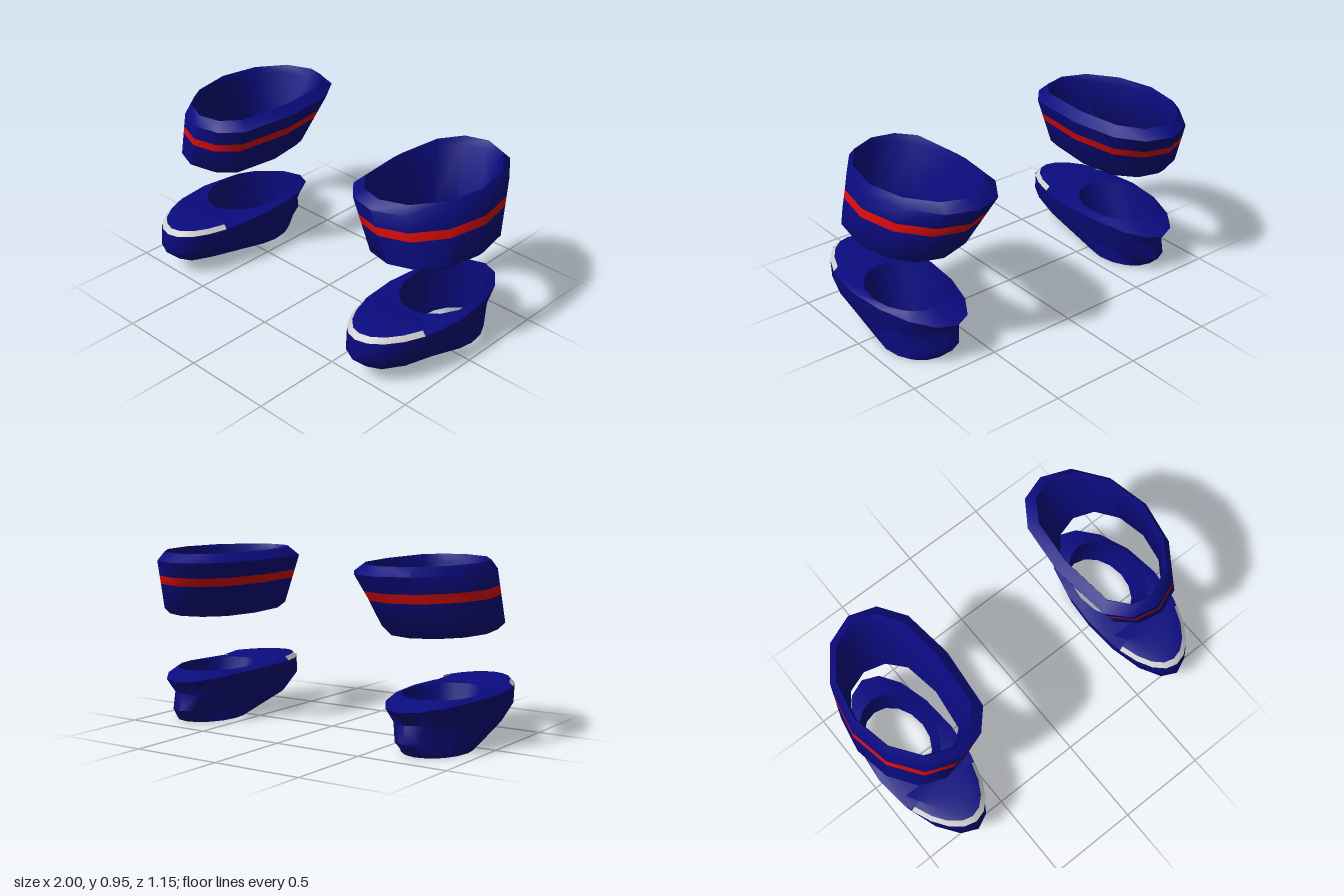
import * as THREE from 'three';
import { toCreasedNormals } from 'three/addons/utils/BufferGeometryUtils.js';

const mat = (color) => new THREE.MeshStandardMaterial({ color, side: THREE.DoubleSide });
const navy = mat(0x0b0b80), red = mat(0xdd0c0c), grey = mat(0xcccccc);

// Egg-shaped outline point at angle a (0 = front), widest at z = zc.
// front, back: exponents under 1 that square off the inner (-x) half
function eggPoint(r, a) {
  const c = Math.cos(a), s = Math.sin(a);
  const p = s > -0.01 ? 1 : c > 0 ? r.front : r.back;
  const z = r.zc + Math.sign(c) * Math.abs(c) ** p * (c > 0 ? r.z1 - r.zc : r.zc - r.z0);
  const x = (r.x0 + r.x1) / 2 + s * (r.x1 - r.x0) / 2 + r.skew * c * c;
  return new THREE.Vector3(x, r.y - r.dip * Math.max(0, -c) ** 2, z);
}

function eggRing(r, sides) {
  return Array.from({ length: sides + 1 }, (_, i) => eggPoint(r, (i % sides) / sides * Math.PI * 2));
}

// Skin between successive rows of points
function skin(name, rows, material) {
  const n = rows[0].length, index = [];
  for (let j = 0; j < rows.length - 1; j++) {
    for (let i = 0; i < n - 1; i++) {
      const a = j * n + i, b = a + 1, c = a + n, d = c + 1;
      index.push(a, b, d, a, d, c);
    }
  }
  const g = new THREE.BufferGeometry().setFromPoints(rows.flat());
  g.setIndex(index);
  const mesh = new THREE.Mesh(toCreasedNormals(g, 0.95), material);
  mesh.name = name;
  return mesh;
}

// Ring at height y between two others
function mix(a, b, y) {
  const t = (y - a.y) / (b.y - a.y), out = {};
  for (const k of Object.keys(a)) out[k] = a[k] + (b[k] - a[k]) * t;
  return out;
}

function makeCuff() {
  const cuff = new THREE.Group();
  cuff.name = 'ankleCuff';
  const ring = (y, x0, x1, z0, z1, zc, skew) =>
    ({ y, x0, x1, z0, z1, zc, skew, front: 0.5, back: 0.75, dip: 0 });
  const lip = ring(0.597, 0.485, 0.97, -0.4, 0.3, -0.06, 0);
  const low = ring(0.63, 0.455, 1.0, -0.435, 0.35, -0.05, 0);
  const high = ring(0.905, 0.36, 0.97, -0.575, 0.375, -0.1, -0.03);
  const rim = ring(0.95, 0.415, 0.94, -0.52, 0.33, -0.1, -0.03);
  const s0 = mix(low, high, 0.773), s1 = mix(low, high, 0.82);
  const rows = (list) => list.map((r) => eggRing(r, 12));
  cuff.add(
    skin('cuffLowerWall', rows([lip, low, s0]), navy),
    skin('cuffStripe', rows([s0, s1]), red),
    skin('cuffUpperWall', rows([s1, high, rim]), navy),
    skin('cuffLining', rows([
      rim,
      ring(0.91, 0.43, 0.93, -0.49, 0.31, -0.1, -0.03),
      ring(0.615, 0.485, 0.95, -0.38, 0.27, -0.06, 0),
      lip,
    ]), navy),
  );
  return cuff;
}

function makeShoe() {
  const shoe = new THREE.Group();
  shoe.name = 'shoe';
  const ring = (y, x0, x1, z0, z1, zc, skew = 0, dip = 0) =>
    ({ y, x0, x1, z0, z1, zc, skew, dip, front: 1, back: 1 });
  const sole = ring(0, 0.57, 0.915, -0.36, 0.085, -0.13);
  const collar = ring(0.275, 0.49, 0.98, -0.48, 0.555, 0.05, -0.025, 0.035);
  const opening = ring(0.287, 0.545, 0.94, -0.338, 0.185, -0.08);
  const rows = (list) => list.map((r) => eggRing(r, 16));

  // Hollow shell with an open bottom
  shoe.add(skin('shoeShell', rows([
    sole,
    ring(0.075, 0.56, 0.92, -0.44, 0.48, 0, -0.02),
    ring(0.165, 0.51, 0.965, -0.41, 0.573, 0.04, -0.025),
    collar,
  ]), navy));
  shoe.add(skin('shoeDeck', rows([collar, opening]), navy));
  shoe.add(skin('shoeLining', rows([opening, sole]), navy));

  // Raised toe cap with a pale edge strip, sloping down towards the opening
  const arc = (inset, y) => Array.from({ length: 9 }, (_, i) => {
    const p = eggPoint(collar, (i / 8 - 0.5) * 2.13);
    p.x += (0.72 - p.x) * inset;
    p.z += (0.25 - p.z) * inset;
    p.y = y;
    return p;
  });
  const back = (half, z, y) => Array.from({ length: 9 }, (_, i) =>
    new THREE.Vector3(0.733 + (i / 4 - 1) * half, y, z));
  const edge = arc(0.1, 0.298);
  shoe.add(skin('toeEdge', [arc(0, 0.275), edge], grey));
  shoe.add(skin('toeCap', [edge, arc(0.3, 0.307), back(0.15, 0.285, 0.307), back(0.19, 0.21, 0.287)], navy));
  return shoe;
}

export function createModel() {
  const model = new THREE.Group();
  model.name = 'footwearPair';
  for (const side of [1, -1]) {
    const boot = new THREE.Group();
    boot.name = side > 0 ? 'leftBoot' : 'rightBoot';
    boot.add(makeCuff(), makeShoe());
    boot.scale.x = side;
    model.add(boot);
  }
  return model;
}
